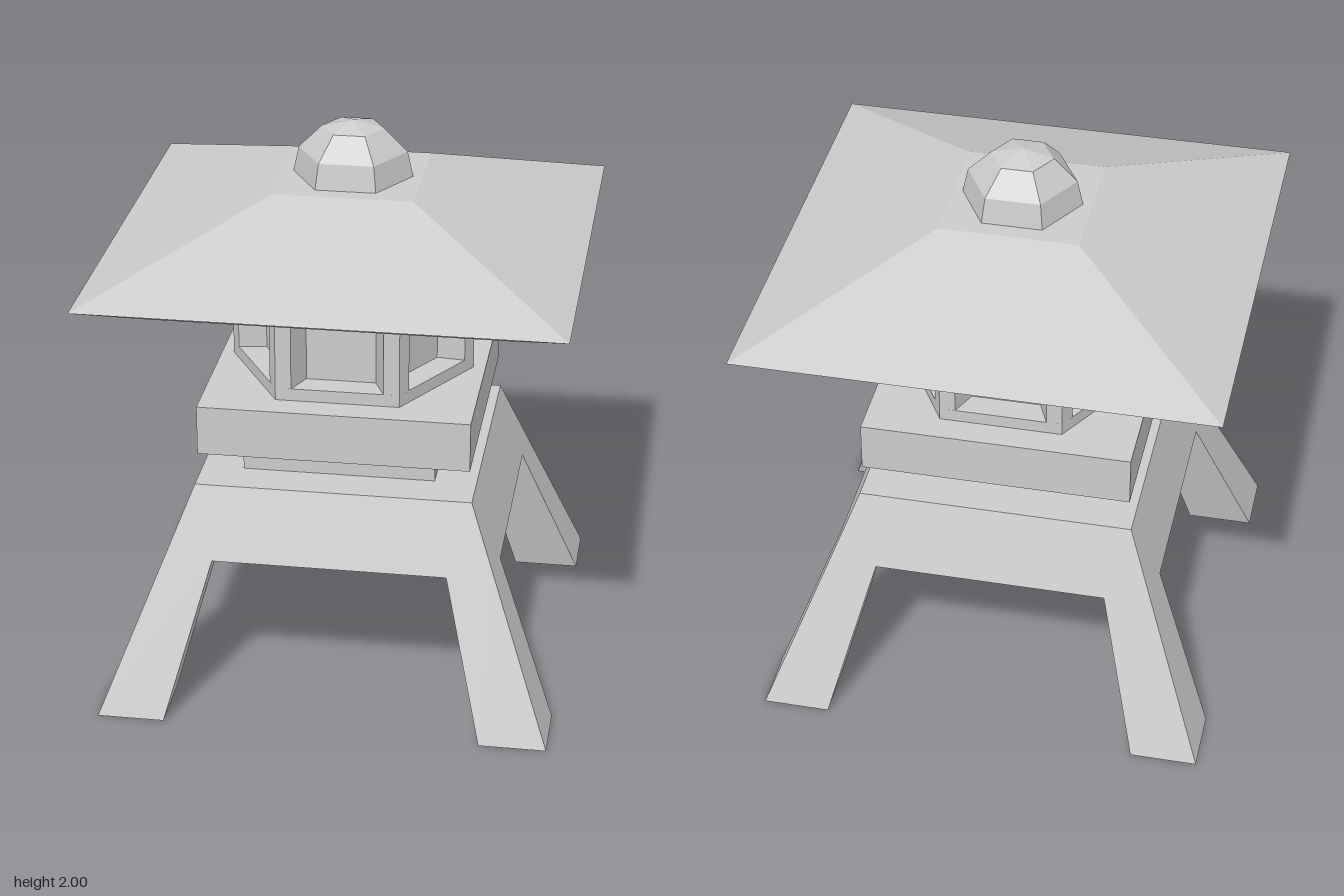
import * as THREE from 'three';

const stone = new THREE.MeshStandardMaterial({ color: 0xcccccc, flatShading: true });

function add(parent, name, geometry) {
  const mesh = new THREE.Mesh(geometry, stone);
  mesh.name = name;
  parent.add(mesh);
  return mesh;
}

// Box whose x and z both run over [from, to], with separate ranges at the bottom and top
function taperedBox(y0, y1, bottom, top) {
  const geometry = new THREE.BoxGeometry(1, 1, 1);
  const p = geometry.attributes.position;
  for (let i = 0; i < p.count; i++) {
    const range = p.getY(i) > 0 ? top : bottom;
    const x = range[p.getX(i) > 0 ? 1 : 0];
    const z = range[p.getZ(i) > 0 ? 1 : 0];
    p.setXYZ(i, x, p.getY(i) > 0 ? y1 : y0, z);
  }
  geometry.computeVertexNormals();
  return geometry;
}

// Centred square block given by half-widths
const block = (y0, y1, b, t = b) => taperedBox(y0, y1, [-b, b], [-t, t]);

// Upright hexagonal prism with corners on the x axis
function hexPrism(radius, y0, y1) {
  return new THREE.CylinderGeometry(radius, radius, y1 - y0, 6)
    .rotateY(Math.PI / 2)
    .translate(0, (y0 + y1) / 2, 0);
}

export function createModel() {
  const model = new THREE.Group();
  model.name = 'stoneLantern';

  // Splayed base with four corner legs
  const base = new THREE.Group();
  base.name = 'base';
  model.add(base);
  add(base, 'baseTable', block(0.54, 0.79, 0.587, 0.49));
  for (let i = 0; i < 4; i++) {
    const leg = add(base, 'leg', taperedBox(0, 0.54, [0.56, 0.797], [0.415, 0.587]));
    leg.rotation.y = i * Math.PI / 2;
  }

  // Neck and platform
  add(model, 'neck', block(0.79, 0.905, 0.342));
  add(model, 'platform', block(0.905, 1.085, 0.48));

  // Hexagonal light chamber: recessed core framed by sill, lintel and corner posts
  const chamber = new THREE.Group();
  chamber.name = 'lightChamber';
  model.add(chamber);
  const radius = 0.437, inset = 0.755, sillTop = 1.13, lintelBottom = 1.41;
  add(chamber, 'windowPanes', hexPrism(radius * inset, sillTop, lintelBottom));
  add(chamber, 'sill', hexPrism(radius, 1.085, sillTop));
  add(chamber, 'lintel', hexPrism(radius, lintelBottom, 1.47));

  // Window edges lie on the faces; the reveals run toward the axis
  const ex = 0.409, ez = 0.048;
  const postShape = new THREE.Shape([
    [ex * inset, -ez * inset], [ex, -ez], [radius, 0], [ex, ez], [ex * inset, ez * inset],
  ].map(([x, y]) => new THREE.Vector2(x, y)));
  for (let i = 0; i < 6; i++) {
    const geometry = new THREE.ExtrudeGeometry(postShape, {
      depth: lintelBottom - sillTop, bevelEnabled: false,
    }).rotateX(-Math.PI / 2).translate(0, sillTop, 0);
    add(chamber, 'cornerPost', geometry).rotation.y = i * Math.PI / 3;
  }

  // Roof: undercut eaves below, hipped slope above
  add(model, 'roofEaves', block(1.467, 1.567, 0.615, 0.832));
  add(model, 'roofSlope', block(1.567, 1.8, 0.832, 0.245));

  // Faceted finial
  const profile = [[0, 1.8], [0.212, 1.8], [0.192, 1.89], [0.11, 1.972], [0, 2]]
    .map(([r, y]) => new THREE.Vector2(r, y));
  add(model, 'finial', new THREE.LatheGeometry(profile, 6).rotateY(Math.PI / 2));

  return model;
}
